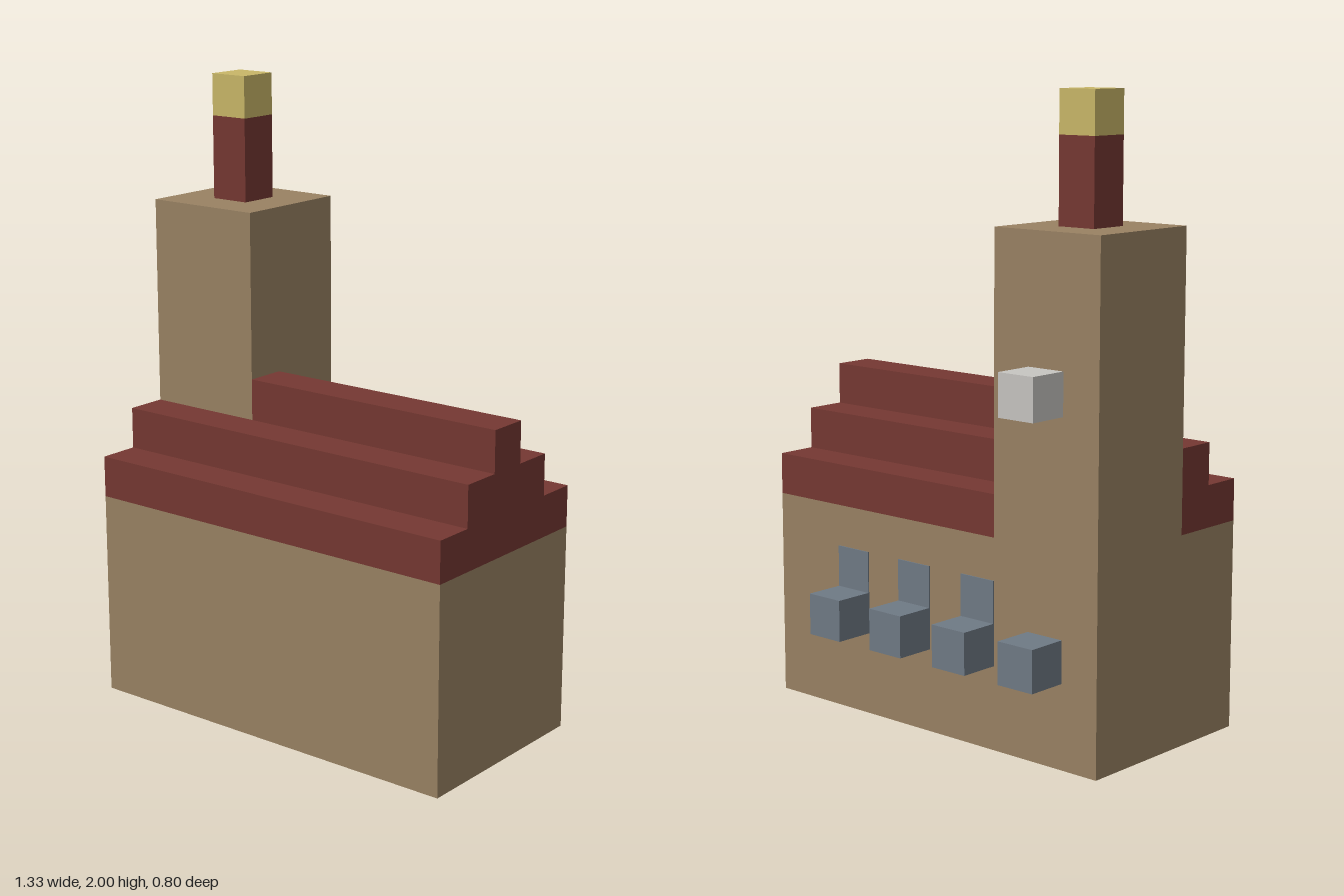
import * as THREE from 'three';

const U = 2 / 15; // one block

const material = (name, color) => {
  const m = new THREE.MeshStandardMaterial({ color });
  m.name = name;
  return m;
};

export function createModel() {
  const stone = material('tan stone', 0x998263);
  const roofRed = material('roof red', 0x753832);
  const gold = material('gold', 0xc9b768);
  const slate = material('slate grey', 0x6f7a85);
  const pale = material('pale grey', 0xc7c5c1);

  const model = new THREE.Group();
  model.name = 'church';

  const add = (name, geometry, mat) => {
    const mesh = new THREE.Mesh(geometry, mat);
    mesh.name = name;
    model.add(mesh);
  };

  // Box given by its lower and upper corners, in blocks
  const box = (name, mat, [x0, y0, z0], [x1, y1, z1]) => {
    const g = new THREE.BoxGeometry((x1 - x0) * U, (y1 - y0) * U, (z1 - z0) * U);
    g.translate((x0 + x1) / 2 * U, (y0 + y1) / 2 * U, (z0 + z1) / 2 * U);
    add(name, g, mat);
  };

  // Stepped roof: a (z, y) profile run along x, in blocks
  const roof = (name, x0, x1, profile) => {
    const shape = new THREE.Shape(profile.map(([z, y]) => new THREE.Vector2(-z * U, y * U)));
    const g = new THREE.ExtrudeGeometry(shape, { depth: (x1 - x0) * U, bevelEnabled: false });
    g.rotateY(Math.PI / 2);
    g.translate(x0 * U, 0, 0);
    add(name, g, roofRed);
  };

  // Nave and tower
  box('naveWalls', stone, [-5, 0, -2], [5, 5, 3]);
  box('tower', stone, [-5, 5, -2], [-2, 12, 1]);

  // Roof over the nave, and the part in front of the tower
  roof('naveRoof', -2, 5, [[3, 5], [3, 6], [2, 6], [2, 7], [1, 7], [1, 8],
    [0, 8], [0, 7], [-1, 7], [-1, 6], [-2, 6], [-2, 5]]);
  roof('towerSideRoof', -5, -2, [[3, 5], [3, 6], [2, 6], [2, 7], [1, 7], [1, 5]]);

  // Spire
  box('spire', roofRed, [-4, 12, -1], [-3, 14, 0]);
  box('spireTip', gold, [-4, 14, -1], [-3, 15, 0]);

  // Blocks along the back wall, with window panes above those on the nave
  for (const x of [-4, -2, 0, 2]) {
    box('backBlock', slate, [x, 2, -3], [x + 1, 3, -2]);
    if (x > -4) box('windowPane', slate, [x, 3, -2.03], [x + 1, 4, -2]);
  }

  // Pale block high on the tower
  box('towerBlock', pale, [-4, 8, -3], [-3, 9, -2]);

  return model;
}
